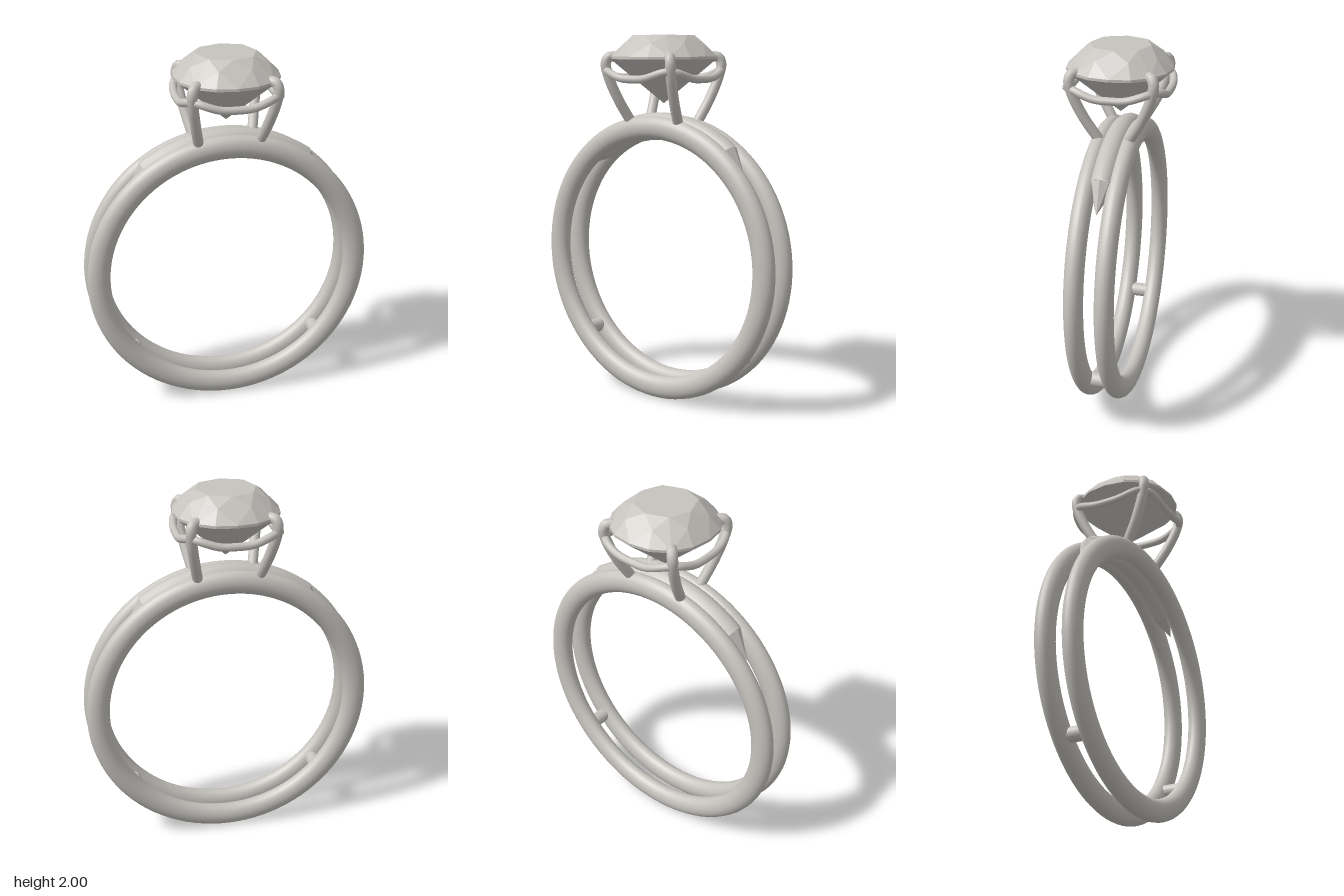
import * as THREE from 'three';

const CENTER_Y = 0.785; // centre of the finger hole

// point on a rounded square with half-width r
function cushion(angle, r, y, n) {
  const c = Math.cos(angle), s = Math.sin(angle);
  const k = r / Math.pow(Math.pow(Math.abs(c), n) + Math.pow(Math.abs(s), n), 1 / n);
  return new THREE.Vector3(c * k, y, -s * k);
}

// brilliant-cut stone built facet by facet
function gemGeometry() {
  const step = Math.PI / 8;
  const at = (j, r, y) => cushion(j * step, r, y, 2.2);
  const table = k => at(2 * k, 0.16, 2.0);
  const kite = k => at(2 * k + 1, 0.22, 1.956);
  const upper = j => at(j, 0.28, 1.887);
  const lower = j => at(j, 0.28, 1.873);
  const pavilion = k => at(2 * k + 1, 0.08, 1.702);
  const top = new THREE.Vector3(0, 2.0, 0), culet = new THREE.Vector3(0, 1.635, 0);
  const points = [];
  const tri = (...p) => points.push(...p);
  for (let k = 0; k < 8; k++) {
    const g = 2 * k;
    // crown: table, star, bezel and girdle facets
    tri(top, table(k), table(k + 1));
    tri(table(k), kite(k), table(k + 1));
    tri(table(k), kite(k - 1), upper(g));
    tri(table(k), upper(g), kite(k));
    tri(kite(k), upper(g), upper(g + 1));
    tri(kite(k), upper(g + 1), upper(g + 2));
    // girdle band
    for (const j of [g, g + 1]) {
      tri(lower(j), lower(j + 1), upper(j + 1));
      tri(lower(j), upper(j + 1), upper(j));
    }
    // pavilion
    tri(pavilion(k), lower(g + 1), lower(g));
    tri(pavilion(k), lower(g + 2), lower(g + 1));
    tri(culet, lower(g), pavilion(k - 1));
    tri(culet, pavilion(k), lower(g));
  }
  const geometry = new THREE.BufferGeometry().setFromPoints(points);
  geometry.computeVertexNormals();
  return geometry;
}

export function createModel() {
  const model = new THREE.Group();
  model.name = 'ring';
  const silver = new THREE.MeshStandardMaterial({ color: 0xc6c3be });
  silver.name = 'silver';

  const add = (name, geometry, x = 0, y = 0, z = 0, parent = model) => {
    const mesh = new THREE.Mesh(geometry, silver);
    mesh.name = name;
    mesh.position.set(x, y, z);
    parent.add(mesh);
    return mesh;
  };

  // twin bands
  for (const side of [1, -1]) {
    const band = add(side > 0 ? 'frontBand' : 'backBand',
      new THREE.TorusGeometry(0.7225, 0.0625, 24, 96), 0, CENTER_Y, 0.079 * side);
    band.scale.z = 0.79;
  }

  // curved bridge filling the gap at the top, with pointed ends
  const half = THREE.MathUtils.degToRad(36), tipAngle = THREE.MathUtils.degToRad(48.5);
  const bridge = new THREE.TorusGeometry(0.725, 0.075, 16, 40, half * 2);
  bridge.rotateZ(Math.PI / 2 - half);
  add('bridge', bridge, 0, CENTER_Y, 0).scale.z = 0.87;

  for (const side of [1, -1]) {
    const onArc = a => new THREE.Vector3(side * Math.sin(a) * 0.725, CENTER_Y + Math.cos(a) * 0.725, 0);
    const base = onArc(half - 0.01), tip = onArc(tipAngle);
    const dir = tip.clone().sub(base);
    const cone = new THREE.ConeGeometry(0.075, dir.length(), 8).toNonIndexed();
    cone.computeVertexNormals();
    const mid = base.clone().add(tip).multiplyScalar(0.5);
    const point = add('bridgePoint', cone, mid.x, mid.y, 0);
    point.rotation.z = Math.atan2(-dir.x, dir.y);
    point.scale.z = 0.87;

    // small bar joining the bands low down
    const bar = new THREE.CylinderGeometry(0.04, 0.04, 0.14, 20);
    bar.rotateX(Math.PI / 2);
    add('joiningBar', bar, side * 0.53, 0.3, 0);
  }

  // four claws curling over the stone
  for (const sx of [1, -1]) for (const sz of [1, -1]) {
    const path = [
      [0.165, 1.53, 0.08], [0.195, 1.66, 0.155], [0.217, 1.78, 0.205],
      [0.223, 1.85, 0.219], [0.212, 1.882, 0.209], [0.192, 1.886, 0.19],
    ].map(([x, y, z]) => new THREE.Vector3(x * sx, y, z * sz));
    const claw = new THREE.Group();
    claw.name = 'claw';
    model.add(claw);
    add('clawWire', new THREE.TubeGeometry(new THREE.CatmullRomCurve3(path), 32, 0.028, 14), 0, 0, 0, claw);
    const end = path[path.length - 1];
    add('clawTip', new THREE.SphereGeometry(0.028, 14, 10), end.x, end.y, end.z, claw);
  }

  // gallery wire, dipping between the claws
  const loop = [];
  for (let i = 0; i < 48; i++) {
    const a = i / 48 * Math.PI * 2;
    loop.push(cushion(a, 0.262, 1.77 + 0.04 * Math.pow(Math.sin(2 * a), 4), 3.7));
  }
  add('galleryWire', new THREE.TubeGeometry(new THREE.CatmullRomCurve3(loop, true), 128, 0.021, 12, true));

  add('gemstone', gemGeometry());
  return model;
}
